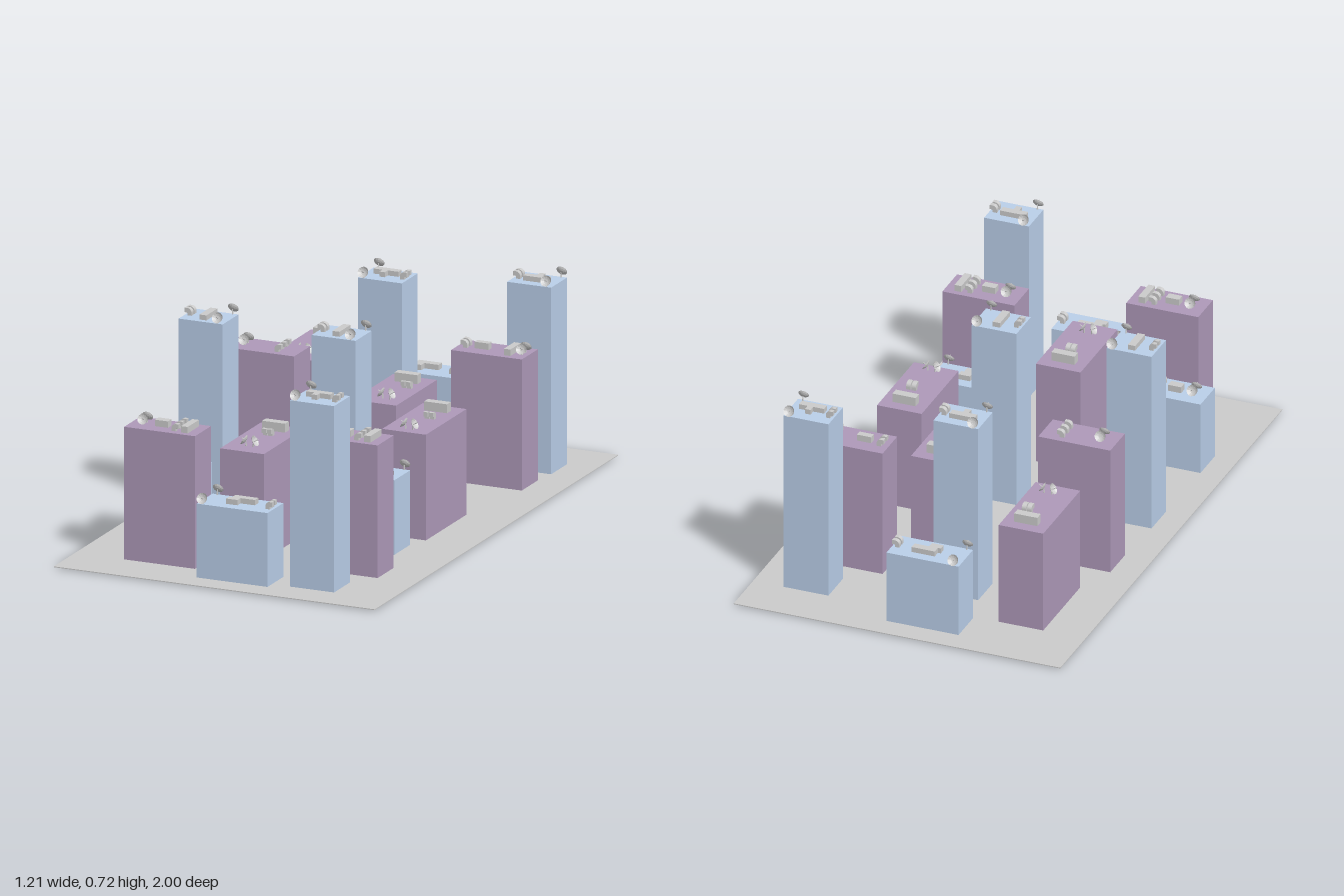
import * as THREE from 'three';

const std = (color, side = THREE.FrontSide) =>
  new THREE.MeshStandardMaterial({ color, side, flatShading: true });
const grey = std(0xcccccc);
const greyThin = std(0xcccccc, THREE.DoubleSide);
const blue = std(0xbacfe9);
const purple = std(0xae99b9);

function add(parent, geo, mat, name, x = 0, y = 0, z = 0) {
  const m = new THREE.Mesh(geo, mat);
  m.name = name;
  m.position.set(x, y, z);
  parent.add(m);
  return m;
}

// Box standing on the roof, given by its x and z limits
function unit(g, x0, x1, z0, z1, h) {
  add(g, new THREE.BoxGeometry(x1 - x0, h, z1 - z0), grey, 'roofUnit', (x0 + x1) / 2, h / 2, (z0 + z1) / 2);
}

// Bent square air duct with its mouth towards +x
function makeDuctGeometry() {
  const s = new THREE.Shape();
  s.moveTo(-0.013, 0);
  s.lineTo(-0.013, 0.01);
  s.absarc(0.003, 0.01, 0.016, Math.PI, Math.PI / 2, true);
  s.lineTo(0.013, 0.026);
  s.lineTo(0.013, 0.01);
  s.lineTo(0.005, 0.01);
  s.lineTo(0.003, 0.008);
  s.lineTo(0.003, 0);
  const geo = new THREE.ExtrudeGeometry(s, { depth: 0.016, bevelEnabled: false, curveSegments: 5 });
  return geo.translate(0, 0, -0.008);
}
const ductGeo = makeDuctGeometry();

function duct(g, x, z, turn) {
  add(g, ductGeo, grey, 'airDuct', x, 0, z).rotation.y = turn;
}

// Satellite dish leaning back, facing +z before it is turned
const dishGeo = new THREE.LatheGeometry(
  [[0, 0], [0.008, 0.001], [0.015, 0.004], [0.02, 0.008]].map(p => new THREE.Vector2(...p)), 12);
const rodGeo = new THREE.CylinderGeometry(0.0015, 0.0015, 0.02, 5).translate(0, 0.01, 0);
const legGeo = new THREE.CylinderGeometry(0.002, 0.003, 0.018, 5).translate(0, 0.009, 0);

function dish(g, x, z, turn) {
  const d = new THREE.Group();
  d.name = 'satelliteDish';
  d.position.set(x, 0, z);
  d.rotation.y = turn;
  const head = new THREE.Group();
  head.name = 'dishHead';
  head.position.y = 0.018;
  head.rotation.x = Math.PI / 3;
  add(head, dishGeo, greyThin, 'dishBowl');
  add(head, rodGeo, grey, 'dishFeed');
  add(d, legGeo, grey, 'dishLeg');
  d.add(head);
  g.add(d);
}

// Corner dishes and a pair of ducts, for narrow and long blue blocks
function cornerKit(g, halfX) {
  for (const s of [-1, 1]) {
    dish(g, -halfX + 0.02, s * 0.06, s > 0 ? 0 : Math.PI);
    duct(g, halfX - 0.014, 0.003 + s * 0.012, 0);
  }
}

// Back-to-back dishes spaced along z
function dishPair(g, x) {
  for (const s of [-1, 1]) dish(g, x, s * 0.014, s > 0 ? 0 : Math.PI);
}

// Roof layouts, in coordinates around the centre of the roof
const roofs = {
  tee(g) {
    cornerKit(g, 0.083);
    unit(g, -0.053, 0.04, -0.027, 0, 0.018);
    unit(g, -0.021, 0, 0, 0.024, 0.018);
  },
  bar(g) {
    cornerKit(g, 0.083);
    unit(g, -0.013, 0.014, -0.045, 0.045, 0.018);
  },
  step(g) {
    cornerKit(g, 0.133);
    unit(g, -0.03, 0.056, -0.028, 0, 0.019);
    unit(g, -0.041, 0.002, 0, 0.025, 0.019);
  },
  full(g) {
    dishPair(g, -0.084);
    unit(g, -0.041, 0.008, -0.015, 0.015, 0.023);
    unit(g, 0.072, 0.097, -0.046, 0.046, 0.023);
    for (const z of [-0.034, 0, 0.034]) duct(g, 0.047, z, 0);
  },
  plain(g) {
    dishPair(g, -0.077);
    for (const z of [-0.034, 0, 0.034]) duct(g, 0.061, z, 0);
  },
  split(g) {
    dishPair(g, 0.111);
    unit(g, -0.069, -0.016, -0.012, 0.012, 0.023);
    unit(g, 0.056, 0.081, -0.04, 0.045, 0.023);
    for (const s of [-1, 1]) duct(g, -0.106, s * 0.013, Math.PI);
  },
  deep(g, o) {
    unit(g, -0.043, 0.043, -0.124, -0.093, 0.032);
    for (const s of [-1, 1]) {
      duct(g, o.duct[0] + s * 0.01, o.duct[1], -Math.PI / 2);
      dish(g, o.dish[0] + s * 0.014, o.dish[1], s * Math.PI / 2);
    }
  },
};

// Footprint and height of each kind of block
const kinds = {
  tower: { w: 0.166, h: 0.67, d: 0.13, mat: blue },
  low: { w: 0.267, h: 0.267, d: 0.13, mat: blue },
  wide: { w: 0.267, h: 0.475, d: 0.132, mat: purple },
  deep: { w: 0.165, h: 0.38, d: 0.333, mat: purple },
};

// kind, roof, centre x, centre z, base y, half turn of roof, roof options
const blocks = [
  ['low', 'step', -0.06, -0.851, 0.006, 0],
  ['tower', 'tee', 0.409, -0.76, 0.005, 1],
  ['deep', 'deep', -0.367, -0.609, 0.004, 0, { duct: [0.029, -0.033], dish: [0.013, 0.107] }],
  ['tower', 'tee', -0.078, -0.595, 0.004, 0],
  ['wide', 'split', 0.347, -0.545, 0.001, 0],
  ['deep', 'deep', 0.102, -0.259, 0, 0, { duct: [0.029, -0.037], dish: [0.018, 0.107] }],
  ['wide', 'plain', -0.37, -0.237, 0.006, 0],
  ['deep', 'deep', 0.344, 0.024, 0.005, 0, { duct: [0.016, -0.01], dish: [0.003, 0.13] }],
  ['tower', 'bar', -0.432, 0.106, 0.006, 1],
  ['tower', 'bar', 0.06, 0.085, 0.004, 1],
  ['low', 'step', 0.273, 0.341, 0.012, 1],
  ['low', 'full', -0.388, 0.531, 0.01, 0],
  ['deep', 'deep', -0.053, 0.49, 0.014, 0, { duct: [0.003, -0.04], dish: [0, 0.103] }],
  ['wide', 'full', 0.328, 0.597, 0.007, 0],
  ['wide', 'full', -0.286, 0.76, 0.007, 0],
  ['low', 'step', 0.028, 0.849, 0.004, 0],
  ['tower', 'tee', 0.313, 0.813, 0.004, 0],
];

export function createModel() {
  const city = new THREE.Group();
  city.name = 'cityBlock';

  // Thin ground slab
  add(city, new THREE.BoxGeometry(1.21, 0.003, 2), grey, 'ground', 0, 0.005, 0);

  for (const [kind, roof, x, z, y, turned, options] of blocks) {
    const { w, h, d, mat } = kinds[kind];
    const b = new THREE.Group();
    b.name = kind + 'Building';
    b.position.set(x, y, z);
    add(b, new THREE.BoxGeometry(w, h, d), mat, 'buildingBody', 0, h / 2, 0);

    // Rooftop equipment
    const top = new THREE.Group();
    top.name = 'rooftop';
    top.position.y = h;
    top.rotation.y = turned * Math.PI;
    roofs[roof](top, options);
    b.add(top);
    city.add(b);
  }
  return city;
}
